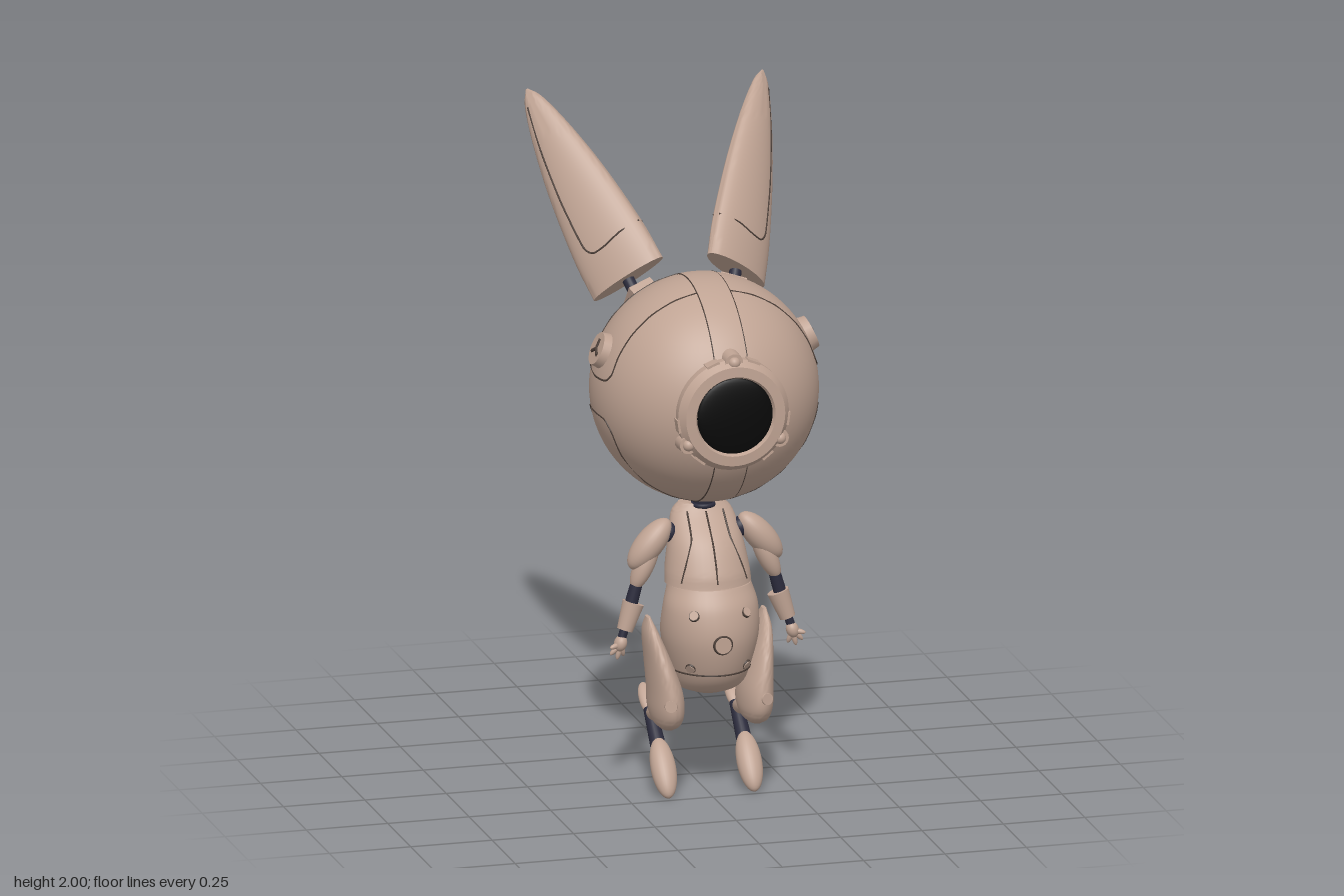
import * as THREE from 'three';
import { toCreasedNormals } from 'three/addons/utils/BufferGeometryUtils.js';

const V = (x, y, z) => new THREE.Vector3(x, y, z);
const paint = (color) => new THREE.MeshStandardMaterial({ color, side: THREE.DoubleSide });
const shell = paint(0xbfa393), joint = paint(0x2b2b3c), black = paint(0x080808), groove = paint(0x4d4039);
const UP = V(0, 1, 0);

export function createModel() {
  const root = new THREE.Group();

  const add = (name, geo, mat = shell, pos = V(0, 0, 0)) => {
    const m = new THREE.Mesh(geo, mat);
    m.name = name;
    m.position.copy(pos);
    root.add(m);
    return m;
  };
  // tapered rod between two points
  const rod = (name, a, b, ra, rb, mat = shell) => {
    const m = add(name, new THREE.CylinderGeometry(rb, ra, a.distanceTo(b), 20), mat, a.clone().lerp(b, 0.5));
    m.quaternion.setFromUnitVectors(UP, b.clone().sub(a).normalize());
    return m;
  };
  // ellipsoid stretched from one point to another
  const pod = (name, a, b, rx, rz = rx, mat = shell) => {
    const m = rod(name, a, b, 1, 1, mat);
    m.geometry = new THREE.SphereGeometry(1, 28, 18);
    m.scale.set(rx, a.distanceTo(b) / 2, rz);
    return m;
  };
  const ball = (name, p, r, mat = shell) => add(name, new THREE.SphereGeometry(r, 24, 16), mat, p);
  const seam = (name, pts, r = 0.003, closed = false) =>
    add(name, new THREE.TubeGeometry(new THREE.CatmullRomCurve3(pts, closed, 'catmullrom', 0.3), pts.length * 6, r, 5, closed), groove);
  const disc = (name, p, n, r, h, mat = shell) => {
    const d = n.clone().normalize().multiplyScalar(h / 2);
    return rod(name, p.clone().sub(d), p.clone().add(d), r, r * 0.9, mat);
  };

  // elliptical sections [y, cx, cz, halfWidth, halfDepth], smoothly joined
  const section = (rings) => {
    const c = new THREE.CatmullRomCurve3(rings.map((r) => V(r[1], r[0], r[2])), false, 'catmullrom', 0.5);
    const h = new THREE.CatmullRomCurve3(rings.map((r) => V(r[3], 0, r[4])), false, 'catmullrom', 0.5);
    return (t) => ({ c: c.getPoint(t), w: Math.max(h.getPoint(t).x, 0.001), d: Math.max(h.getPoint(t).z, 0.001) });
  };
  const loft = (rings, steps = 32, n = 40) => {
    const at = section(rings), pos = [], idx = [];
    for (let i = -1; i <= steps + 1; i++) {
      const { c, w, d } = at(THREE.MathUtils.clamp(i / steps, 0, 1));
      const k = i < 0 || i > steps ? 0.0005 : 1;
      for (let j = 0; j < n; j++) {
        const a = (j / n) * Math.PI * 2;
        pos.push(c.x + k * w * Math.cos(a), c.y, c.z + k * d * Math.sin(a));
      }
    }
    for (let i = 0; i < steps + 2; i++) for (let j = 0; j < n; j++) {
      const a = i * n + j, b = i * n + (j + 1) % n;
      idx.push(a, a + n, b, b, a + n, b + n);
    }
    const g = new THREE.BufferGeometry();
    g.setAttribute('position', new THREE.Float32BufferAttribute(pos, 3));
    g.setIndex(idx);
    return toCreasedNormals(g, 0.8);
  };
  // point on the front (f = 1) or back (f = -1) of a loft at a given x and y
  const onLoft = (rings, x, y, f = 1) => {
    const at = section(rings);
    let lo = 0, hi = 1;
    for (let i = 0; i < 20; i++) { const m = (lo + hi) / 2; if (at(m).c.y < y) lo = m; else hi = m; }
    const { c, w, d } = at(lo);
    return V(x, y, c.z + f * d * Math.sqrt(Math.max(0, 1 - ((x - c.x) / w) ** 2)));
  };

  // head with a raised centre band
  const HC = V(0, 1.24, 0.148), R = 0.34;
  add('head', new THREE.SphereGeometry(R, 64, 48), shell, HC);
  const arc = [];
  for (let i = 0; i <= 8; i++) { const x = -0.05 + i * 0.0125; arc.push(new THREE.Vector2(Math.sqrt(0.342 ** 2 - x * x), x)); }
  add('headBand', new THREE.LatheGeometry(arc, 80), shell, HC).rotation.z = Math.PI / 2;
  for (const s of [-1, 1]) {
    const rim = add('bandSeam', new THREE.TorusGeometry(0.3365, 0.0025, 5, 80), groove, HC.clone().add(V(s * 0.05, 0, 0)));
    rim.rotation.y = Math.PI / 2;
  }

  // muzzle ring and eye
  const prof = [[0.1, -0.08], [0.165, -0.08], [0.17, -0.05], [0.17, -0.025], [0.152, 0], [0.122, 0.002], [0.116, -0.01], [0.112, -0.03]];
  const ring = new THREE.LatheGeometry(prof.map((p) => new THREE.Vector2(...p)), 64);
  const MC = V(0, 1.245, 0.495);
  add('muzzleRing', toCreasedNormals(ring, 0.5), shell, MC).rotation.x = Math.PI / 2;
  const lens = add('eyeLens', new THREE.SphereGeometry(0.116, 40, 20), black, V(0, 1.245, 0.485));
  lens.scale.z = 0.13;
  for (const deg of [90, -30, 210]) {
    const a = THREE.MathUtils.degToRad(deg), p = V(Math.cos(a) * 0.162, 1.245 + Math.sin(a) * 0.162, 0.45);
    disc('muzzleLug', p, V(0, 0, 1), 0.03, 0.06);
    ball('muzzleBolt', p.clone().setZ(0.478), 0.018);
    for (const off of [-0.38, 0.38]) {
      const b = add('muzzleClamp', new THREE.BoxGeometry(0.03, 0.04, 0.05), shell,
        V(Math.cos(a + off) * 0.158, 1.245 + Math.sin(a + off) * 0.158, 0.45));
      b.rotation.z = a + off;
    }
  }

  // neck and torso
  rod('neck', V(0, 0.84, 0.13), V(0, 0.93, 0.145), 0.032, 0.028, joint);
  for (const y of [0.875, 0.9]) {
    const t = add('neckRing', new THREE.TorusGeometry(0.031, 0.007, 8, 24), joint, V(0, y, 0.138));
    t.rotation.x = Math.PI / 2;
  }
  const belly = [[0.32, 0, 0.19, 0.05, 0.05], [0.345, 0, 0.19, 0.1, 0.105], [0.4, 0, 0.197, 0.122, 0.138],
    [0.5, 0, 0.207, 0.145, 0.152], [0.59, 0, 0.218, 0.142, 0.128], [0.655, 0, 0.203, 0.125, 0.108]];
  const chest = [[0.655, 0, 0.19, 0.13, 0.112], [0.7, 0, 0.178, 0.126, 0.112], [0.78, 0, 0.158, 0.112, 0.088],
    [0.85, 0, 0.122, 0.094, 0.056], [0.88, 0, 0.115, 0.07, 0.04]];
  add('belly', loft(belly));
  add('chest', loft(chest));
  const line = (rings, pts) => pts.map(([x, y, f]) => onLoft(rings, x, y, f));
  seam('chestSeam', line(chest, [0.67, 0.72, 0.78, 0.86].map((y) => [0, y])));
  const hem = [];
  for (let i = 0; i < 32; i++) {
    const a = (i / 32) * Math.PI * 2;
    hem.push(V(0.122 * Math.cos(a), 0.4, 0.197 + 0.138 * Math.sin(a)));
  }
  seam('pelvisSeam', hem, 0.003, true);
  const spots = [[0, 0.5, 0.031], [0.08, 0.587, 0.017], [-0.08, 0.587, 0.017], [0.085, 0.42, 0.017], [-0.085, 0.42, 0.017]];
  for (const [x, y, r] of spots) {
    const p = onLoft(belly, x, y), n = p.clone().sub(V(0, 0.5, 0.2));
    disc('bellyStudRim', p, n, r, 0.006, groove);
    disc('bellyStud', p, n, r * 0.88, 0.01);
  }

  // tail
  rod('tailStem', V(0, 0.42, 0.1), V(0, 0.4, -0.01), 0.016, 0.016, joint);
  ball('tail', V(0, 0.4, -0.018), 0.069);
  add('tailSeam', new THREE.TorusGeometry(0.069, 0.003, 5, 40), groove, V(0, 0.4, -0.018)).rotation.x = Math.PI / 2;

  for (const s of [-1, 1]) {
    const P = (x, y, z) => V(s * x, y, z);

    // panel seams on the side of the head
    const onHead = (y, z) => P(Math.sqrt(Math.max(0.0025, R * R - (y - HC.y) ** 2 - (z - HC.z) ** 2)), y, z);
    const top = (z) => [0.05, 0.12, 0.19, 0.25, 0.29].map((x) => P(x, HC.y + Math.sqrt(R * R - x * x - (z - HC.z) ** 2), z));
    seam('upperPanelSeam', [...top(0.25), onHead(1.33, 0.25), onHead(1.305, 0.225), onHead(1.3, 0.15),
      onHead(1.305, 0.06), onHead(1.33, 0.037), ...top(0.037).reverse()]);
    const low = (z) => [0.05, 0.13, 0.21, 0.28].map((x) => P(x, HC.y - Math.sqrt(R * R - x * x - (z - HC.z) ** 2), z));
    seam('lowerPanelSeam', [...low(0.25), onHead(1.15, 0.25), onHead(1.185, 0.225), onHead(1.19, 0.15),
      onHead(1.185, 0.06), onHead(1.15, 0.037), ...low(0.037).reverse()]);

    // round side button with a three-armed mark
    const n = P(0.31, 0.135, 0).normalize(), bp = HC.clone().addScaledVector(n, 0.343);
    disc('sideButton', bp, n, 0.056, 0.034);
    const e = V(0, 0, 1), f = n.clone().cross(e);
    for (let k = 0; k < 3; k++) {
      const a = Math.PI / 2 + k * Math.PI * 2 / 3, c = bp.clone().addScaledVector(n, 0.016);
      rod('buttonMark', c, c.clone().addScaledVector(e, 0.03 * Math.cos(a)).addScaledVector(f, 0.03 * Math.sin(a)), 0.006, 0.006, groove);
    }

    // ear socket frame
    const sn = P(0.14, 0.19, -0.235).normalize();
    const sy = V(0, 0.17, 0.12).addScaledVector(sn, -V(0, 0.17, 0.12).dot(sn)).normalize();
    const rect = (C, w, h) => new C([[-w, -h], [w, -h], [w, h], [-w, h]].map((p) => new THREE.Vector2(...p)));
    const frame = rect(THREE.Shape, 0.036, 0.095);
    frame.holes.push(rect(THREE.Path, 0.022, 0.08));
    const socket = add('earSocket', new THREE.ExtrudeGeometry(frame, { depth: 0.03, bevelSize: 0.004, bevelThickness: 0.004, bevelSegments: 2 }),
      shell, HC.clone().addScaledVector(sn, 0.32));
    socket.quaternion.setFromRotationMatrix(new THREE.Matrix4().makeBasis(sy.clone().cross(sn), sy, sn));

    // ear blade
    const base = P(0.165, 1.515, -0.09), tip = P(0.362, 2.0, -0.497), L = base.distanceTo(tip);
    rod('earStem', P(0.125, 1.41, -0.02), base.clone().lerp(tip, 0.06), 0.02, 0.018, joint);
    const A = tip.clone().sub(base).normalize();
    const W = P(0.21, -0.13, -0.11);
    W.addScaledVector(A, -W.dot(A)).normalize();
    const blade = [[0, 0, 0, 0.125, 0.042], [0.2 * L, 0, 0, 0.121, 0.046], [0.5 * L, 0, 0, 0.098, 0.041],
      [0.75 * L, 0, 0, 0.066, 0.031], [0.93 * L, 0, 0, 0.032, 0.016], [L, 0, 0, 0.004, 0.003]];
    const ear = add('ear', loft(blade), shell, base);
    ear.quaternion.setFromRotationMatrix(new THREE.Matrix4().makeBasis(W, A, W.clone().cross(A)));
    for (const side of [-1, 1]) {
      const pts = [[-0.118, 0.2], [-0.06, 0.19], [0, 0.17], [0.045, 0.17], [0.065, 0.22], [0.062, 0.45], [0.045, 0.7], [0.02, 0.92]];
      ear.add(seam('earSeam', pts.map(([u, v]) => onLoft(blade, u, v * L, side))));
    }

    // chest plate edge
    seam('chestPlateSeam', line(chest, [[0.1 * s, 0.67], [0.085 * s, 0.72], [0.06 * s, 0.79], [0.055 * s, 0.86]]));

    // arm
    ball('shoulderJoint', P(0.11, 0.8, 0.15), 0.03, joint);
    pod('shoulderPad', P(0.11, 0.84, 0.155), P(0.23, 0.7, 0.16), 0.042, 0.045);
    pod('upperArm', P(0.15, 0.79, 0.16), P(0.222, 0.635, 0.165), 0.03, 0.034);
    rod('elbow', P(0.21, 0.66, 0.165), P(0.235, 0.57, 0.165), 0.018, 0.02, joint);
    rod('forearm', P(0.222, 0.595, 0.165), P(0.25, 0.515, 0.172), 0.033, 0.024);
    rod('wrist', P(0.25, 0.52, 0.172), P(0.262, 0.485, 0.174), 0.013, 0.013, joint);
    pod('palm', P(0.256, 0.5, 0.174), P(0.272, 0.452, 0.176), 0.019, 0.021);
    for (const [x, y, z] of [[0.252, 0.433, 0.165], [0.275, 0.426, 0.175], [0.296, 0.442, 0.175], [0.3, 0.468, 0.192]])
      pod('finger', P(0.264, 0.474, 0.176), P(x, y, z), 0.008);

    // leg
    rod('hipJoint', P(0.09, 0.42, 0.17), P(0.15, 0.4, 0.18), 0.035, 0.03, joint);
    add('thigh', loft([[0.22, s * 0.135, 0.225, 0.02, 0.035], [0.24, s * 0.135, 0.222, 0.04, 0.075], [0.28, s * 0.136, 0.213, 0.05, 0.105],
      [0.34, s * 0.14, 0.21, 0.048, 0.105], [0.42, s * 0.155, 0.196, 0.036, 0.096], [0.5, s * 0.172, 0.178, 0.022, 0.066], [0.55, s * 0.178, 0.168, 0.006, 0.02]]));
    disc('kneeStud', P(0.147, 0.31, 0.312), P(0.3, 0.1, 1), 0.02, 0.012);
    pod('shin', P(0.135, 0.26, 0.2), P(0.132, 0.205, 0.015), 0.022, 0.026);
    pod('heelSpur', P(0.132, 0.205, 0.045), P(0.132, 0.278, -0.055), 0.024, 0.016);
    rod('ankleStrut', P(0.132, 0.22, 0.025), P(0.132, 0.1, 0.15), 0.019, 0.025, joint);
    pod('foot', P(0.132, 0.155, 0.112), P(0.132, 0.004, 0.235), 0.038, 0.034);
  }
  return root;
}
